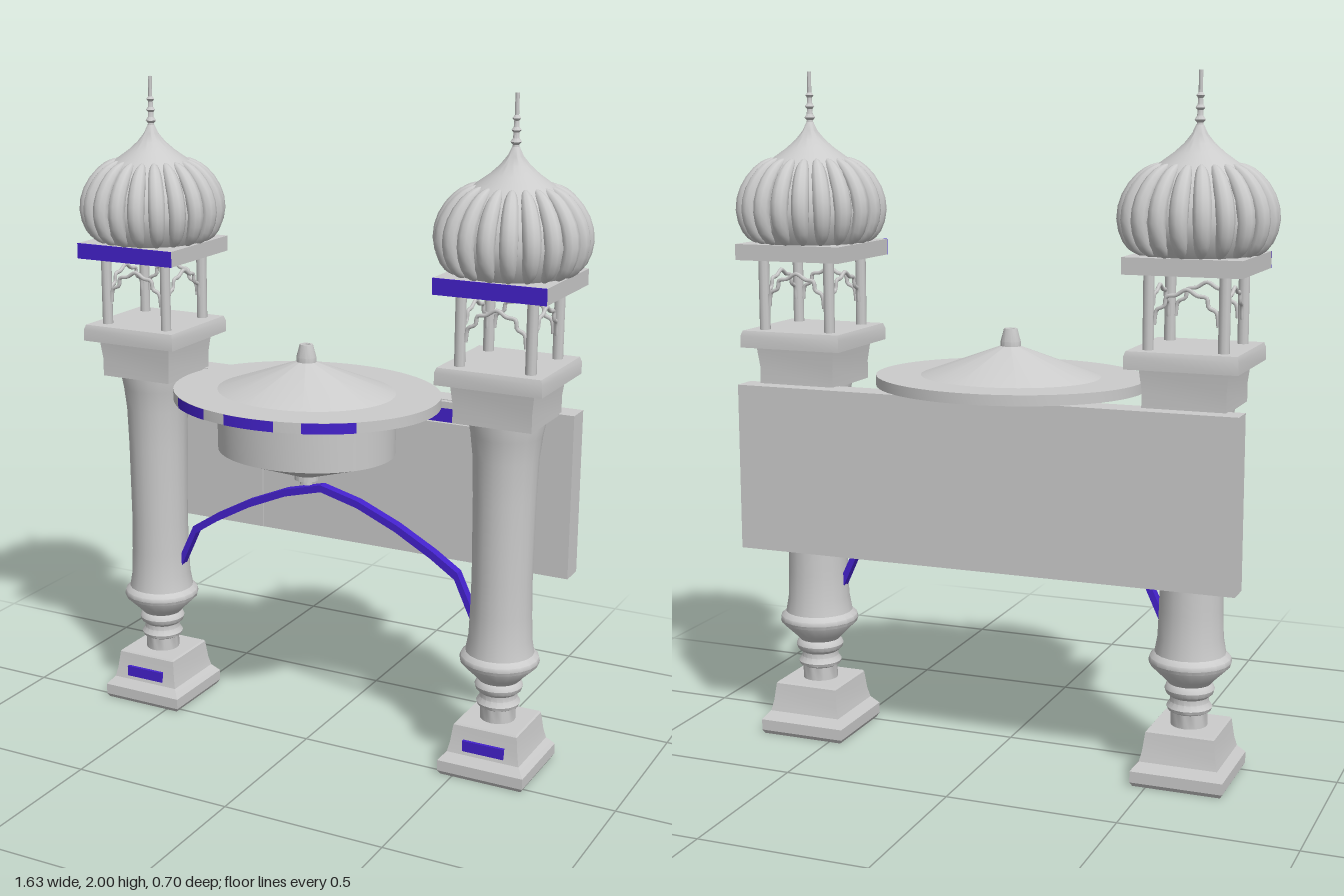
import * as THREE from 'three';
import { toCreasedNormals } from 'three/addons/utils/BufferGeometryUtils.js';

const grey = new THREE.MeshStandardMaterial({ color: 0xcccccc });
const purple = new THREE.MeshStandardMaterial({ color: 0x4422cc });

function add(parent, name, geometry, material = grey, x = 0, y = 0, z = 0) {
  const mesh = new THREE.Mesh(geometry, material);
  mesh.name = name;
  mesh.position.set(x, y, z);
  parent.add(mesh);
  return mesh;
}

// Box given by its bottom and top heights
function slab(parent, name, w, y0, y1, d, material, x = 0, z = 0) {
  return add(parent, name, new THREE.BoxGeometry(w, y1 - y0, d), material, x, (y0 + y1) / 2, z);
}

// Turned solid from [radius, height] pairs, bottom to top
function turned(points, sides, crease = 0.6) {
  const profile = points.map(([r, y]) => new THREE.Vector2(r, y));
  return toCreasedNormals(new THREE.LatheGeometry(profile, sides), crease);
}

// Square stepped solid from [half width, height] pairs
function squareTurned(points) {
  const profile = points.map(([h, y]) => new THREE.Vector2(h * Math.SQRT2, y));
  return toCreasedNormals(new THREE.LatheGeometry(profile, 4, Math.PI / 4), 0.4);
}

// Melon rib: a sphere bent along the dome outline
function ribGeometry() {
  const path = new THREE.CatmullRomCurve3([
    [0.155, 1.505], [0.185, 1.54], [0.2, 1.6], [0.187, 1.66], [0.15, 1.715], [0.105, 1.75],
  ].map(([r, y]) => new THREE.Vector3(r, y, 0)));
  const geo = new THREE.SphereGeometry(1, 10, 16);
  const pos = geo.attributes.position;
  for (let i = 0; i < pos.count; i++) {
    const t = Math.min(1, Math.max(0, (pos.getY(i) + 1) / 2));
    const p = path.getPoint(t), d = path.getTangent(t);
    const out = pos.getX(i) * 0.024;
    pos.setXYZ(i, p.x + d.y * out, p.y - d.x * out, pos.getZ(i) * 0.026);
  }
  geo.computeVertexNormals();
  return geo;
}

function tower() {
  const g = new THREE.Group();

  // Pedestal with a coloured plate
  add(g, 'pedestal', squareTurned([
    [0, 0], [0.128, 0], [0.135, 0.012], [0.135, 0.045], [0.126, 0.056],
    [0.114, 0.07], [0.107, 0.1], [0.1, 0.155], [0.096, 0.16], [0, 0.16],
  ]));
  slab(g, 'pedestalPlate', 0.13, 0.082, 0.115, 0.03, purple, 0, 0.1);

  // Turned column
  add(g, 'column', turned([
    [0.053, 0.15], [0.053, 0.2], [0.062, 0.205], [0.066, 0.215], [0.056, 0.23], [0.056, 0.245],
    [0.068, 0.255], [0.072, 0.268], [0.068, 0.278], [0.062, 0.285], [0.075, 0.3], [0.116, 0.34],
    [0.119, 0.35], [0.116, 0.362], [0.102, 0.375], [0.094, 0.42], [0.091, 0.5], [0.089, 0.6],
    [0.092, 0.85], [0.096, 0.97], [0.104, 1.04], [0.112, 1.08], [0.112, 1.095],
  ], 20));

  // Square capital
  add(g, 'capital', squareTurned([
    [0, 1.085], [0.119, 1.085], [0.119, 1.14], [0.126, 1.2], [0.16, 1.2], [0.16, 1.235],
    [0.155, 1.25], [0, 1.25],
  ]));

  // Lantern: four posts with a slender lobed arch on each side
  const lantern = new THREE.Group();
  lantern.name = 'lantern';
  g.add(lantern);
  const half = [[-0.09, 1.32], [-0.083, 1.36], [-0.062, 1.372], [-0.056, 1.397], [-0.03, 1.402], [0, 1.418]];
  const lobes = [...half, ...half.slice(0, -1).reverse().map(([x, y]) => [-x, y])];
  const archPath = new THREE.CatmullRomCurve3(lobes.map(([x, y]) => new THREE.Vector3(x, y, 0)));
  const archGeo = new THREE.TubeGeometry(archPath, 40, 0.006, 6);
  for (let i = 0; i < 4; i++) {
    const side = new THREE.Group();
    side.rotation.y = i * Math.PI / 2;
    side.name = 'lanternSide';
    lantern.add(side);
    add(side, 'post', new THREE.CylinderGeometry(0.016, 0.016, 0.22, 10), grey, 0.106, 1.355, 0.106);
    add(side, 'lobedArch', archGeo, grey, 0, 0, 0.106);
  }

  // Roof slab with coloured fascia
  slab(g, 'roofSlab', 0.334, 1.458, 1.505, 0.33, grey);
  slab(g, 'roofFascia', 0.334, 1.458, 1.505, 0.004, purple, 0, 0.167);

  // Onion dome, ribs and finial
  add(g, 'dome', turned([
    [0.15, 1.5], [0.182, 1.54], [0.197, 1.6], [0.184, 1.66], [0.15, 1.715], [0.112, 1.75],
    [0.07, 1.78], [0.042, 1.805], [0.022, 1.83], [0.01, 1.855],
  ], 40, 1));
  const rib = ribGeometry(), count = 20;
  for (let i = 0; i < count; i++) {
    add(g, 'domeRib', rib).rotation.y = (i / count) * Math.PI * 2;
  }
  add(g, 'finial', turned([
    [0.012, 1.84], [0.009, 1.86], [0.016, 1.868], [0.009, 1.878], [0.008, 1.893], [0.014, 1.9],
    [0.008, 1.908], [0.007, 1.925], [0.012, 1.932], [0.006, 1.94], [0.006, 2], [0, 2],
  ], 12));
  return g;
}

// Shallow pointed band between the towers
function archBand() {
  const half = [[-0.515, 0.47], [-0.455, 0.598], [-0.375, 0.65], [-0.255, 0.715], [-0.125, 0.77], [0, 0.802]];
  const top = [...half, ...half.slice(0, -1).reverse().map(([x, y]) => [-x, y])];
  const under = top.map(([x, y]) => [x * 0.98, y - 0.022]).reverse();
  const shape = new THREE.Shape([...top, ...under].map(([x, y]) => new THREE.Vector2(x, y)));
  return new THREE.ExtrudeGeometry(shape, { depth: 0.03, bevelEnabled: false });
}

export function createModel() {
  const model = new THREE.Group();
  model.name = 'gateway';

  // Pair of towers
  for (const [name, x] of [['leftTower', 0.59], ['rightTower', -0.59]]) {
    const t = tower();
    t.name = name;
    t.position.set(x, 0, -0.108);
    model.add(t);
  }

  // Back wall with side panels, mouldings and coloured stripe
  slab(model, 'backWall', 1.514, 0.595, 1.09, 0.076, grey, 0, -0.24);
  for (const s of [-1, 1]) slab(model, 'wallPanel', 0.28, 0.597, 0.99, 0.008, grey, s * 0.4, -0.2);
  slab(model, 'lowerMoulding', 1.02, 0.99, 1.02, 0.014, grey, 0, -0.199);
  slab(model, 'wallStripe', 1.02, 1.025, 1.068, 0.02, purple, 0, -0.198);
  slab(model, 'upperMoulding', 1.02, 1.068, 1.088, 0.026, grey, 0, -0.197);

  // Arch
  add(model, 'arch', archBand(), purple, 0, 0, -0.12);

  // Oval hanging drum with brim, cone top and cone bottom
  const drum = new THREE.Group();
  drum.name = 'centreDrum';
  drum.scale.z = 0.867;
  model.add(drum);
  add(drum, 'drumBody', turned([
    [0, 0.833], [0.02, 0.833], [0.02, 0.845], [0.037, 0.847], [0.037, 0.862], [0.27, 0.94],
    [0.272, 1.09], [0.405, 1.09], [0.405, 1.121], [0.27, 1.121], [0.03, 1.208],
    [0.03, 1.222], [0.02, 1.26], [0.012, 1.26], [0.01, 1.245], [0, 1.245],
  ], 64, 0.3));
  const step = Math.PI / 16;
  for (const start of [-4, -1, 2]) {
    const geo = new THREE.CylinderGeometry(0.407, 0.407, 0.031, 8, 1, true, start * step, 2 * step);
    add(drum, 'brimStripe', geo, purple, 0, 1.1055, 0);
  }
  return model;
}
